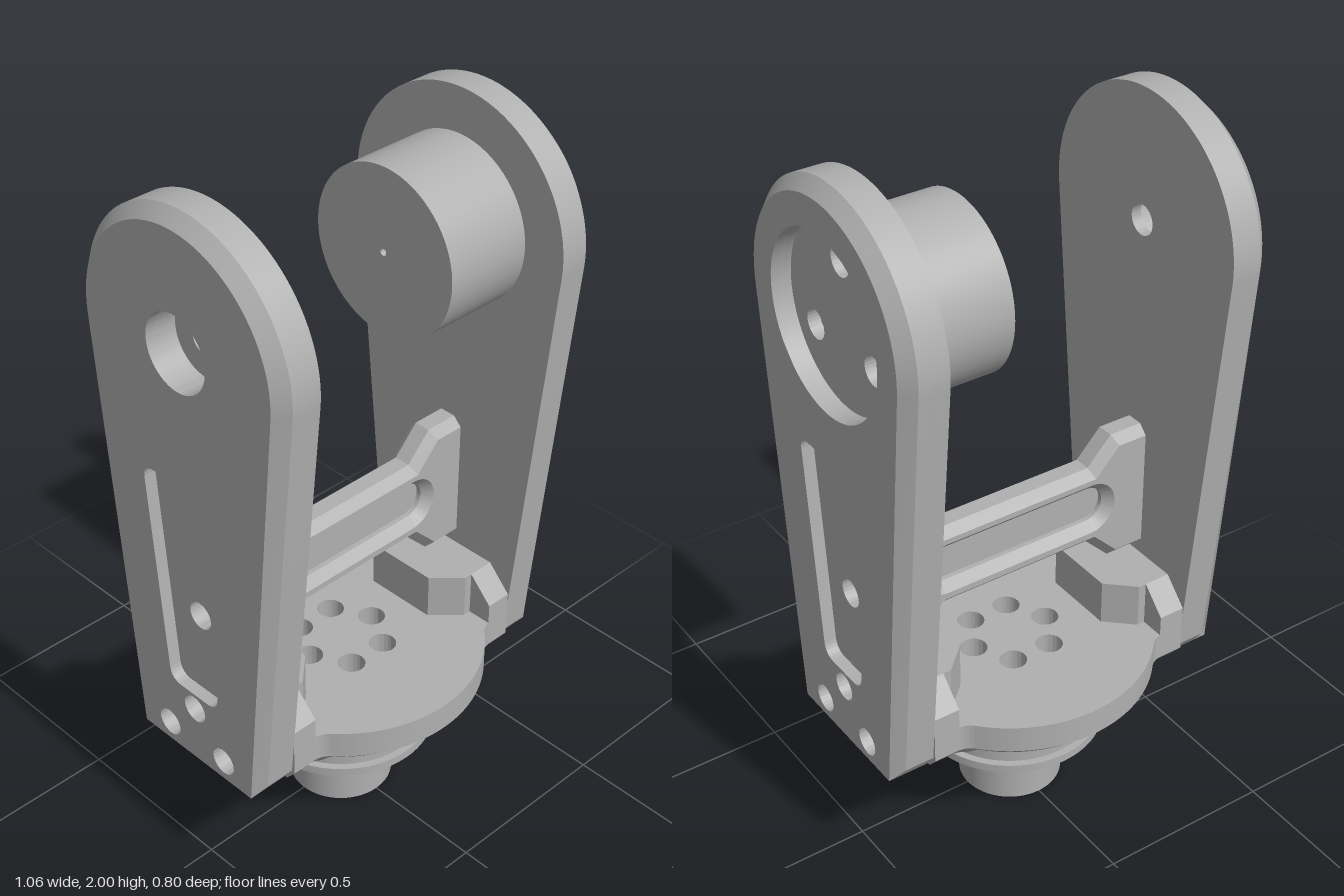
import * as THREE from 'three';
import { toCreasedNormals } from 'three/addons/utils/BufferGeometryUtils.js';

const grey = new THREE.MeshStandardMaterial({ color: 0xb0b0b0 });
grey.name = 'machined grey';

const PIVOT = 1.64;   // height of the tilt axis
const ARM_R = 0.36;   // radius of the arm's round top

function circle(u, v, r) {
  return new THREE.Path().absarc(u, v, r, 0, Math.PI * 2, true);
}

// Closed outline with softened corners
function softPolygon(pts, r) {
  const path = new THREE.Path();
  const P = pts.map(p => new THREE.Vector2(...p));
  P.forEach((p, i) => {
    const prev = P[(i + P.length - 1) % P.length], next = P[(i + 1) % P.length];
    const a = prev.clone().sub(p).setLength(r).add(p);
    const b = next.clone().sub(p).setLength(r).add(p);
    if (i) path.lineTo(a.x, a.y); else path.moveTo(a.x, a.y);
    path.quadraticCurveTo(p.x, p.y, b.x, b.y);
  });
  path.closePath();
  return path;
}

// Slab between two depths, with holes and an optional vertex rule
function slab(shape, holes, from, to, rule) {
  const s = shape.clone();
  s.holes = holes;
  const g = new THREE.ExtrudeGeometry(s, { depth: to - from, bevelEnabled: false, curveSegments: 40 });
  g.translate(0, 0, from);
  if (rule) {
    const p = g.attributes.position;
    for (let i = 0; i < p.count; i++) {
      const moved = rule(p.getX(i), p.getY(i), p.getZ(i));
      if (moved) p.setXY(i, moved[0], moved[1]);
    }
  }
  return g;
}

function add(parent, name, geo) {
  const m = new THREE.Mesh(toCreasedNormals(geo, 0.5), grey);
  m.name = name;
  parent.add(m);
  return m;
}

// Upright arm: round top, tapered sides, chamfered outer rim, pockets and counterbored screws
function buildArm(name, side) {
  const arm = new THREE.Group();
  arm.name = name;
  const outline = new THREE.Shape();
  outline.moveTo(-0.212, 0.37);
  outline.lineTo(0.212, 0.37);
  outline.lineTo(0.24, 0.41);
  outline.absarc(0, PIVOT, ARM_R, -0.09, Math.PI + 0.09, false);
  outline.lineTo(-0.24, 0.41);
  outline.closePath();

  const chamfer = (u, v, d) => {
    if (d < 0.529 || v < 0.38) return null;
    if (v >= PIVOT) {
      if (Math.hypot(u, v - PIVOT) < ARM_R - 0.02) return null;
      const k = 0.325 / ARM_R;
      return [u * k, PIVOT + (v - PIVOT) * k];
    }
    const half = 0.24 + (v - 0.41) * 0.0976;
    if (Math.abs(u) < half - 0.02) return null;
    return [u - Math.sign(u) * (0.0245 + (v - 0.41) * 0.0085), v];
  };

  const foot = [[-0.107, 0.43], [0.107, 0.43], [0, 0.545]];
  const strutScrew = [[0, 0.84]];
  const motorScrews = [[0, 1.795], [-0.132, 1.565], [0.132, 1.565]];
  const drill = (list, r) => list.map(([u, v]) => circle(u, v, r));
  const pocket = () => softPolygon([[-0.15, 1.255], [0.15, 1.255], [0.09, 0.595], [-0.09, 0.595]], 0.04);
  const isMotor = side > 0;
  const top = (small, big, screwR) =>
    isMotor ? (screwR ? drill(motorScrews, screwR) : [circle(0, PIVOT, 0.242)])
            : [circle(0, PIVOT, small ? 0.043 : big)];

  const layers = [
    [0.41, 0.44, [...drill([...foot, ...strutScrew], 0.024), ...top(true, 0, 0.024)]],
    [0.44, 0.475, [...drill([...foot, ...strutScrew], 0.04), ...top(false, 0.105, 0.04)]],
    [0.475, 0.495, [...drill([...foot, ...strutScrew], 0.04), ...top(false, 0.105)]],
    [0.495, 0.53, [...drill(foot, 0.04), pocket(), ...top(false, 0.105)]],
  ];
  layers.forEach(([a, b, holes], i) => {
    const g = slab(outline, holes, a, b, i === 3 ? chamfer : null);
    g.rotateY(side * Math.PI / 2);
    add(arm, name + 'Layer' + (i + 1), g);
  });
  return arm;
}

// Round turntable with two straight lugs that meet the arms
function buildBase() {
  const base = new THREE.Group();
  base.name = 'basePlate';
  const s = new THREE.Shape();
  const a = Math.atan2(0.27, 0.295);
  const cx = 0.4 * Math.cos(a), cy = 0.4 * Math.sin(a);
  s.moveTo(0.41, -0.25);
  s.lineTo(0.41, 0.25);
  s.lineTo(0.34, 0.25);
  s.quadraticCurveTo(0.315, 0.25, cx, cy);
  s.absarc(0, 0, 0.4, a, Math.PI - a, false);
  s.quadraticCurveTo(-0.315, 0.25, -0.34, 0.25);
  s.lineTo(-0.41, 0.25);
  s.lineTo(-0.41, -0.25);
  s.lineTo(-0.34, -0.25);
  s.quadraticCurveTo(-0.315, -0.25, -cx, -cy);
  s.absarc(0, 0, 0.4, Math.PI + a, Math.PI * 2 - a, false);
  s.quadraticCurveTo(0.315, -0.25, 0.34, -0.25);
  s.closePath();

  const ring = r => Array.from({ length: 6 }, (_, i) =>
    circle(0.12 * Math.cos(i * Math.PI / 3), 0.12 * Math.sin(i * Math.PI / 3), r));
  const chamfer = (x, y, d) => {
    if (d > 0.371 || Math.abs(y) < 0.2) return null;
    if (Math.abs(x) > 0.3) return [x, y - Math.sign(y) * 0.03];
    const k = 1 - 0.035 / Math.hypot(x, y);
    return [x * k, y * k];
  };
  add(base, 'baseLower', slab(s, ring(0.023), 0.37, 0.405, chamfer).rotateX(-Math.PI / 2));
  add(base, 'baseUpper', slab(s, ring(0.038), 0.405, 0.485).rotateX(-Math.PI / 2));
  return base;
}

// Corner block and sloped wedge that stiffen each arm foot
function buildGusset(side) {
  const g = new THREE.Group();
  g.name = side > 0 ? 'leftGusset' : 'rightGusset';
  const pts = [[0.41, -0.178], [0.41, 0.178], [0.31, 0.178], [0.235, 0.108], [0.235, -0.108], [0.31, -0.178]];
  const block = new THREE.Shape(pts.map(([x, y]) => new THREE.Vector2(side * x, y)));
  add(g, 'gussetBlock', slab(block, [], 0.485, 0.618).rotateX(-Math.PI / 2));
  const wedge = new THREE.Shape([[-0.25, 0.485], [0.25, 0.485], [0.25, 0.545], [0.178, 0.618],
    [-0.178, 0.618], [-0.25, 0.545]].map(p => new THREE.Vector2(...p)));
  add(g, 'gussetWedge', slab(wedge, [], 0.333, 0.41).rotateY(side * Math.PI / 2));
  return g;
}

// Cross strut with chamfered edges and a blind slot on both faces
function buildStrut() {
  const g = new THREE.Group();
  g.name = 'crossStrut';
  const upper = [[0.437, 1.038], [0.31, 1.038], [0.235, 0.959], [-0.235, 0.959], [-0.31, 1.038], [-0.437, 1.038]];
  const lower = [[-0.437, 0.64], [-0.31, 0.64], [-0.235, 0.715], [0.235, 0.715], [0.31, 0.64], [0.437, 0.64]];
  const s = new THREE.Shape([...upper, ...lower].map(p => new THREE.Vector2(...p)));
  const slot = new THREE.Path();
  slot.absarc(0.232, 0.838, 0.053, Math.PI / 2, -Math.PI / 2, true);
  slot.absarc(-0.232, 0.838, 0.053, -Math.PI / 2, -Math.PI * 1.5, true);
  slot.closePath();
  s.holes.push(slot);
  const geo = new THREE.ExtrudeGeometry(s, {
    depth: 0.048, bevelThickness: 0.026, bevelSize: 0.026, bevelOffset: -0.026, bevelSegments: 1, curveSegments: 16,
  });
  add(g, 'strutBar', geo.translate(0, 0, -0.028));
  add(g, 'slotFloor', new THREE.BoxGeometry(0.6, 0.14, 0.02)).position.set(0, 0.838, -0.004);
  return g;
}

// Pan spindle: shaft, flange and a thin rim drilled with small screws
function buildSpindle() {
  const g = new THREE.Group();
  g.name = 'spindle';
  const disc = r => new THREE.Shape().absarc(0, 0, r, 0, Math.PI * 2, false);
  const screws = Array.from({ length: 6 }, (_, i) =>
    circle(0.205 * Math.cos(i * Math.PI / 3), 0.205 * Math.sin(i * Math.PI / 3), 0.012));
  const up = (name, r, a, b, holes = []) => add(g, name, slab(disc(r), holes, a, b).rotateX(-Math.PI / 2));
  up('lowerShaft', 0.147, 0, 0.2, [circle(0, 0, 0.01)]);
  up('flangeRim', 0.265, 0.203, 0.228, screws);
  up('flange', 0.245, 0.228, 0.297);
  up('upperShaft', 0.147, 0.297, 0.372);
  up('shaftCore', 0.147, 0.19, 0.23);
  return g;
}

export function createModel() {
  const model = new THREE.Group();
  model.name = 'panTiltBracket';
  model.add(buildArm('motorArm', 1), buildArm('bearingArm', -1), buildBase(),
    buildGusset(1), buildGusset(-1), buildStrut(), buildSpindle());

  // Tilt motor with a small centre hole in its free end
  const can = new THREE.Shape().absarc(0, PIVOT, 0.235, 0, Math.PI * 2, false);
  add(model, 'motor', slab(can, [circle(0, PIVOT, 0.01)], 0.147, 0.412).rotateY(Math.PI / 2));
  return model;
}
